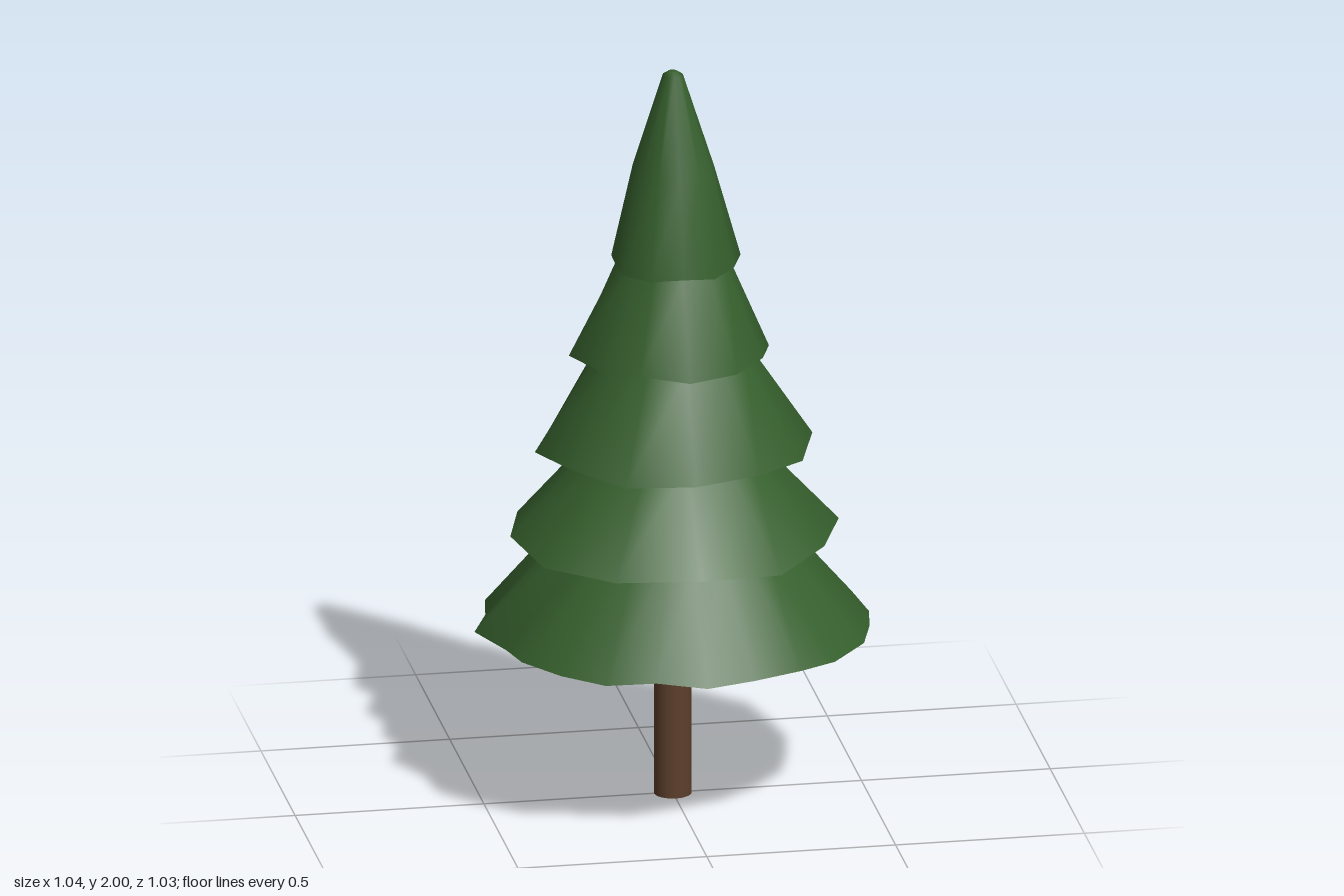
import * as THREE from 'three';

// Closed loft: each ring scales the ragged rim outline, with shared smooth normals.
// rings: [scale, y, wobble] from the underside outward, then up to the top.
function loftTier(radii, rings) {
  const n = radii.length;
  const mean = radii.reduce((a, b) => a + b, 0) / n;
  const pos = [];
  const index = [];
  for (const [radius, y, rag] of rings) {
    for (let i = 0; i < n; i++) {
      const a = (i / n) * Math.PI * 2;
      const r = radius * (1 + rag * (radii[i] / mean - 1));
      const dy = rag * 0.007 * Math.sin(i * 2.3 + y * 9);
      pos.push(Math.cos(a) * r, y + dy, Math.sin(a) * r);
    }
  }
  const bottom = pos.length / 3;
  pos.push(0, rings[0][1], 0);
  const top = bottom + 1;
  pos.push(0, rings[rings.length - 1][1], 0);
  const last = (rings.length - 1) * n;
  for (let i = 0; i < n; i++) {
    const j = (i + 1) % n;
    index.push(bottom, i, j);
    index.push(top, last + j, last + i);
    for (let k = 0; k < rings.length - 1; k++) {
      const a = k * n + i, b = k * n + j, c = a + n, d = b + n;
      index.push(a, c, b, b, c, d);
    }
  }
  const g = new THREE.BufferGeometry();
  g.setAttribute('position', new THREE.Float32BufferAttribute(pos, 3));
  g.setIndex(index);
  g.computeVertexNormals();
  return g;
}

export function createModel() {
  const tree = new THREE.Group();
  tree.name = 'pineTree';

  const needles = new THREE.MeshStandardMaterial({ color: 0x36602d });
  needles.name = 'needle green';
  const bark = new THREE.MeshStandardMaterial({ color: 0x5c3f2b });
  bark.name = 'bark brown';

  // Trunk, running up into the lowest tier
  const trunk = new THREE.Mesh(new THREE.CylinderGeometry(0.05, 0.05, 0.52, 16), bark);
  trunk.position.y = 0.26;
  trunk.name = 'trunk';
  tree.add(trunk);

  // Foliage tiers: ragged rim radii, rim height, then the rings above the rim
  const tiers = [
    {
      y: 0.475,
      radii: [0.52, 0.515, 0.53, 0.515, 0.52, 0.505, 0.515, 0.5, 0.515, 0.51, 0.515, 0.48,
        0.525, 0.49, 0.52, 0.525, 0.525, 0.52, 0.52, 0.525, 0.535, 0.52, 0.535, 0.515],
      upper: [[0.3, 0.73], [0.27, 0.76]],
    },
    {
      y: 0.73,
      radii: [0.44, 0.42, 0.44, 0.425, 0.44, 0.44, 0.43, 0.43, 0.45, 0.44, 0.45, 0.43],
      upper: [[0.21, 0.98], [0.19, 1.01]],
    },
    {
      y: 0.97,
      radii: [0.37, 0.36, 0.35, 0.35, 0.36, 0.35, 0.365, 0.34, 0.35, 0.36, 0.36, 0.36],
      upper: [[0.2, 1.23], [0.18, 1.26]],
    },
    {
      y: 1.23,
      radii: [0.255, 0.25, 0.26, 0.26, 0.25, 0.25, 0.275, 0.25, 0.26, 0.27, 0.26, 0.25],
      upper: [[0.15, 1.47], [0.13, 1.5]],
    },
    {
      y: 1.475,
      radii: [0.18, 0.17, 0.17, 0.175, 0.17, 0.17, 0.155, 0.17, 0.17, 0.18, 0.17, 0.17],
      upper: [[0.11, 1.73], [0.027, 1.99], [0.012, 2.0]],
    },
  ];

  tiers.forEach(({ y, radii, upper }, i) => {
    const mean = radii.reduce((a, b) => a + b, 0) / radii.length;
    const rings = [[mean * 0.9, y, 1], [mean, y, 1], ...upper.map(([r, h]) => [r, h, 0])];
    const tier = new THREE.Mesh(loftTier(radii, rings), needles);
    tier.name = `foliageTier${i + 1}`;
    tree.add(tier);
  });

  return tree;
}
